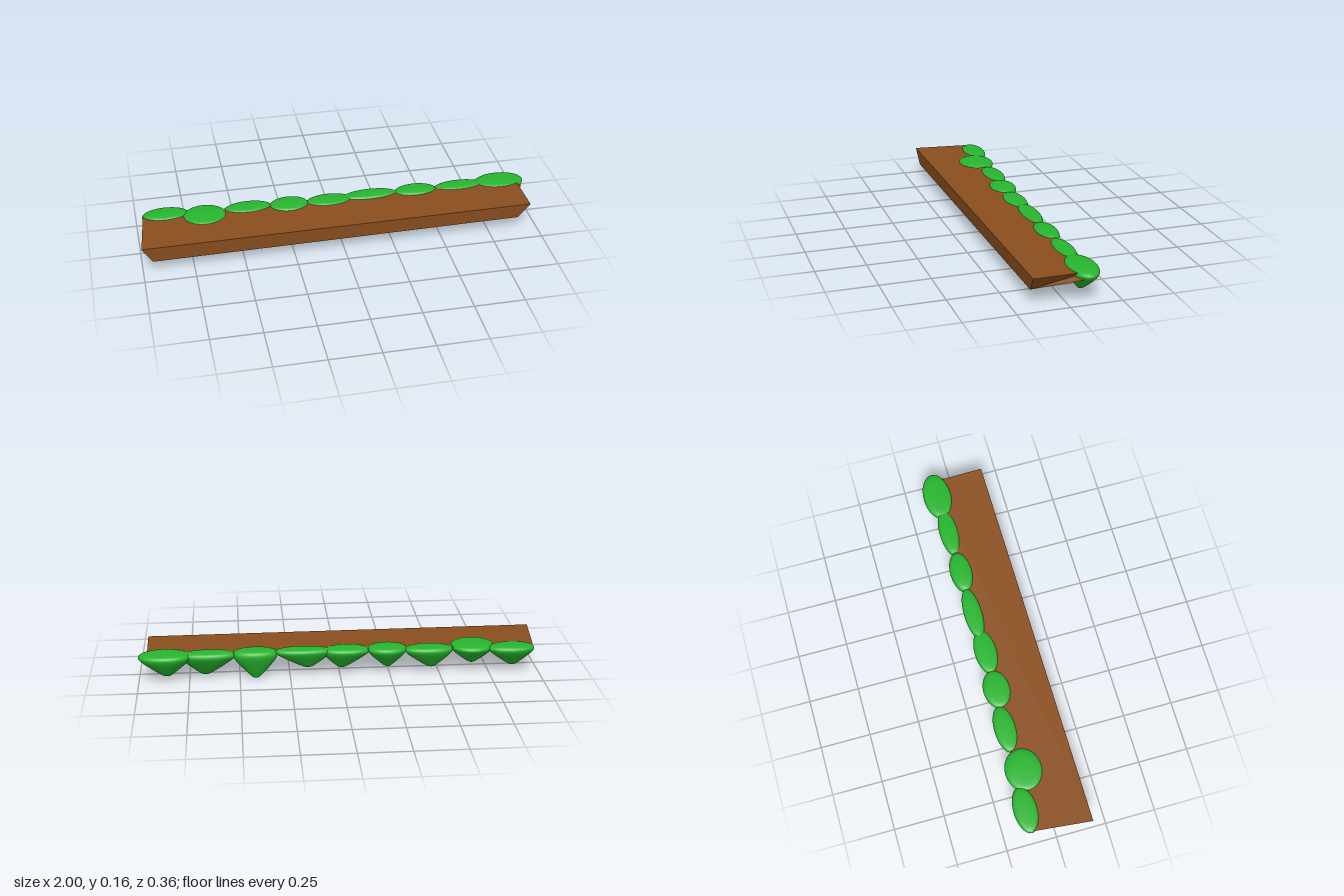
import * as THREE from 'three';

const wood = new THREE.MeshStandardMaterial({ color: 0x8b4f1e, flatShading: true });
const leaf = new THREE.MeshStandardMaterial({ color: 0x27b52f });

// Wedge-shaped ledge: a box whose corners are moved, thick in front, thin at the back
function makeLedge() {
  const geo = new THREE.BoxGeometry(2, 2, 2);
  // keyed by the signs of x, y, z
  const corners = {
    '-1,1,1': [-1, 0.142, 0.178], '1,1,1': [0.96, 0.142, 0.162],
    '-1,-1,1': [-0.95, 0.06, 0.17], '1,-1,1': [0.9, 0.066, 0.155],
    '-1,1,-1': [-0.97, 0.14, -0.11], '1,1,-1': [0.955, 0.14, -0.1],
    '-1,-1,-1': [-0.95, 0.12, -0.1], '1,-1,-1': [0.99, 0.12, -0.085],
  };
  const p = geo.attributes.position;
  for (let i = 0; i < p.count; i++) {
    p.setXYZ(i, ...corners[[p.getX(i), p.getY(i), p.getZ(i)].join(',')]);
  }
  geo.computeVertexNormals();
  const mesh = new THREE.Mesh(geo, wood);
  mesh.name = 'ledge';
  return mesh;
}

// Rounded tuft outline: radius and height from 0 (tip) to 1 (top)
const outline = new THREE.SplineCurve([
  [0, 0], [0.14, 0.03], [0.34, 0.17], [0.6, 0.38], [0.85, 0.6],
  [0.99, 0.78], [0.96, 0.89], [0.8, 0.96], [0.45, 0.99], [0, 1],
].map(([r, y]) => new THREE.Vector2(r, y)));
const profile = outline.getPoints(32).map(v => new THREE.Vector2(Math.max(v.x, 0), v.y));
profile[0].x = profile[32].x = 0;

// Tuft filling the given extents, leaning so that its tip hangs at tipX, tipZ
function makeTuft([x0, x1, z0, z1, top, bottom, tipX, tipZ]) {
  const geo = new THREE.LatheGeometry(profile, 32);
  const p = geo.attributes.position;
  const cx = (x0 + x1) / 2, cz = (z0 + z1) / 2;
  for (let i = 0; i < p.count; i++) {
    const y = p.getY(i);
    const lean = Math.max(0, 1 - y / 0.8);
    p.setXYZ(i,
      cx + p.getX(i) * (x1 - x0) / 2 + (tipX - cx) * lean,
      bottom + y * (top - bottom),
      cz + p.getZ(i) * (z1 - z0) / 2 + (tipZ - cz) * lean);
  }
  geo.computeVertexNormals();
  // share normals across the lathe seam
  const n = geo.attributes.normal, row = profile.length;
  for (let j = 0; j < row; j++) {
    const k = 32 * row + j;
    const v = new THREE.Vector3().fromBufferAttribute(n, j)
      .add(new THREE.Vector3().fromBufferAttribute(n, k)).normalize();
    n.setXYZ(j, v.x, v.y, v.z);
    n.setXYZ(k, v.x, v.y, v.z);
  }
  return new THREE.Mesh(geo, leaf);
}

// Per tuft: x range, z range, top, bottom, tip x, tip z
const tufts = [
  [-0.975, -0.74, -0.178, -0.06, 0.152, 0.035, -0.87, -0.1],
  [-0.775, -0.555, -0.165, 0.02, 0.153, 0.035, -0.67, -0.05],
  [-0.565, -0.32, -0.157, -0.048, 0.151, 0.03, -0.46, -0.085],
  [-0.335, -0.135, -0.155, -0.02, 0.154, 0.035, -0.24, -0.075],
  [-0.15, 0.09, -0.143, -0.03, 0.151, 0.035, -0.01, -0.07],
  [0.045, 0.325, -0.14, -0.048, 0.154, 0.045, 0.16, -0.08],
  [0.31, 0.535, -0.148, -0.035, 0.155, 0, 0.42, -0.09],
  [0.52, 0.79, -0.143, -0.045, 0.15, 0.015, 0.67, -0.06],
  [0.74, 1, -0.172, -0.025, 0.152, 0.025, 0.86, -0.095],
];

export function createModel() {
  const model = new THREE.Group();
  model.name = 'overgrownLedge';
  model.add(makeLedge());
  const foliage = new THREE.Group();
  foliage.name = 'foliage';
  tufts.forEach((t, i) => {
    const mesh = makeTuft(t);
    mesh.name = `leafTuft${i + 1}`;
    foliage.add(mesh);
  });
  model.add(foliage);
  return model;
}
